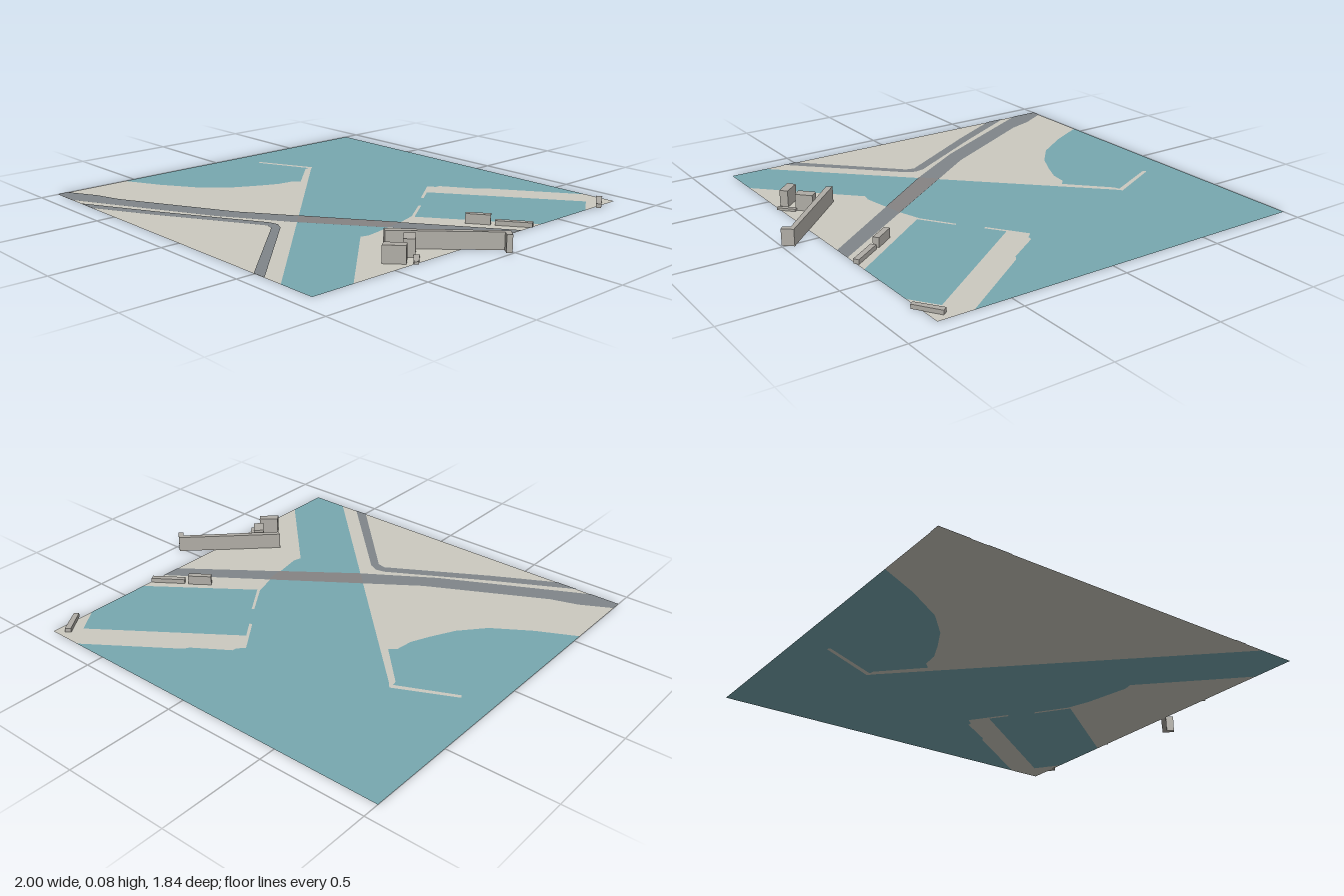
import * as THREE from 'three';

const EAST = 0.83, WEST = -1, NORTH = -0.92, SOUTH = 0.915;

const paint = (color) => new THREE.MeshStandardMaterial({ color, side: THREE.DoubleSide });
const materials = {
  land: paint(0xcccac0), water: paint(0x78a8b0), road: paint(0x80868a),
  bridge: paint(0x868484), building: paint(0xb0ada6),
};

// Outline given as [x, z] pairs; y of the shape is -z so it can be laid flat
const outline = (points) => new THREE.Shape(points.map(([x, z]) => new THREE.Vector2(x, -z)));

function add(group, name, geometry, material, y) {
  geometry.rotateX(-Math.PI / 2);
  const mesh = new THREE.Mesh(geometry, material);
  mesh.name = name;
  mesh.position.y = y;
  group.add(mesh);
}

// Shorelines, each running from one plate edge to another
const westShore = [
  [WEST, 0.55], [-0.82, 0.46], [-0.65, 0.35], [-0.55, 0.235], [-0.49, 0.12], [-0.45, 0.03],
  [-0.44, -0.05], [-0.41, -0.08], [-0.585, -0.26], [-0.59, -0.285], [-0.85, -0.165], [-0.86, -0.18],
  [-0.59, -0.31], [-0.57, -0.285], [0.655, SOUTH],
];
const northShore = [
  [0.67, NORTH], [0.28, -0.65], [0.265, -0.625], [0.105, -0.52], [0.105, -0.5], [0.073, -0.47],
  [0.19, -0.305], [0.202, -0.312], [0.143, -0.395], [0.746, -0.82], [EAST, -0.7],
];
const eastShore = [
  [EAST, -0.385], [0.385, -0.062], [0.283, -0.21], [0.273, -0.203], [0.37, -0.06],
  [0.405, 0.05], [0.445, 0.27], [0.435, 0.31], [EAST, 0.715],
];

const surfaces = [
  ['westLand', 'land', 0, [...westShore, [WEST, SOUTH]]],
  ['northPeninsula', 'land', 0, [...northShore, [EAST, NORTH]]],
  ['eastLand', 'land', 0, eastShore],
  // Water fills everything between the shorelines
  ['water', 'water', 0, [[WEST, NORTH], ...northShore, ...eastShore, [EAST, SOUTH], ...[...westShore].reverse()]],
  ['mainRoad', 'road', 0.002, [
    [WEST, 0.865], [-0.86, 0.79], [-0.735, 0.75], [-0.2, 0.47], [EAST, -0.25],
    [EAST, -0.16], [0.085, 0.39], [-0.21, 0.58], [-0.86, SOUTH], [WEST, SOUTH],
  ]],
  ['sideRoad', 'road', 0.002, [
    [-0.785, SOUTH], [-0.42, 0.72], [0.025, 0.465], [0.07, 0.455], [0.115, 0.475], [0.56, SOUTH],
    [0.495, SOUTH], [0.095, 0.51], [0.055, 0.5], [-0.4, 0.765], [-0.68, SOUTH],
  ]],
  ['bridgeDeck', 'bridge', 0.003, [[0.033, 0.307], [0.41, 0.043], [0.425, 0.139], [0.104, 0.376]]],
];

// Building footprints with their heights
const buildings = [
  ['longHall', 0.077, [[0.59, 0.33], [0.615, 0.345], [0.953, 0.008], [0.98, 0.03], [0.997, 0.012], [0.955, -0.025]]],
  ['hallAnnex', 0.077, [[0.685, 0.31], [0.72, 0.275], [0.775, 0.335], [0.74, 0.37]]],
  ['lowWall', 0.012, [[0.765, 0.335], [0.785, 0.32], [0.843, 0.385], [0.83, 0.4]]],
  ['southBlock', 0.077, [[0.715, 0.45], [0.785, 0.39], [0.81, 0.42], [0.74, 0.485]]],
  ['quayWarehouse', 0.045, [[0.585, -0.17], [0.675, -0.235], [0.692, -0.212], [0.602, -0.15]]],
  ['quayShed', 0.022, [[0.692, -0.243], [0.825, -0.335], [0.838, -0.312], [0.708, -0.222]]],
  ['peninsulaShed', 0.02, [[0.762, -0.876], [0.784, -0.892], [0.858, -0.78], [0.84, -0.765]]],
];

export function createModel() {
  const model = new THREE.Group();
  model.name = 'harbourMap';
  for (const [name, kind, y, points] of surfaces) {
    add(model, name, new THREE.ShapeGeometry(outline(points)), materials[kind], y);
  }
  for (const [name, height, points] of buildings) {
    const geometry = new THREE.ExtrudeGeometry(outline(points), { depth: height - 0.001, bevelEnabled: false });
    add(model, name, geometry, materials.building, 0.001);
  }
  return model;
}
